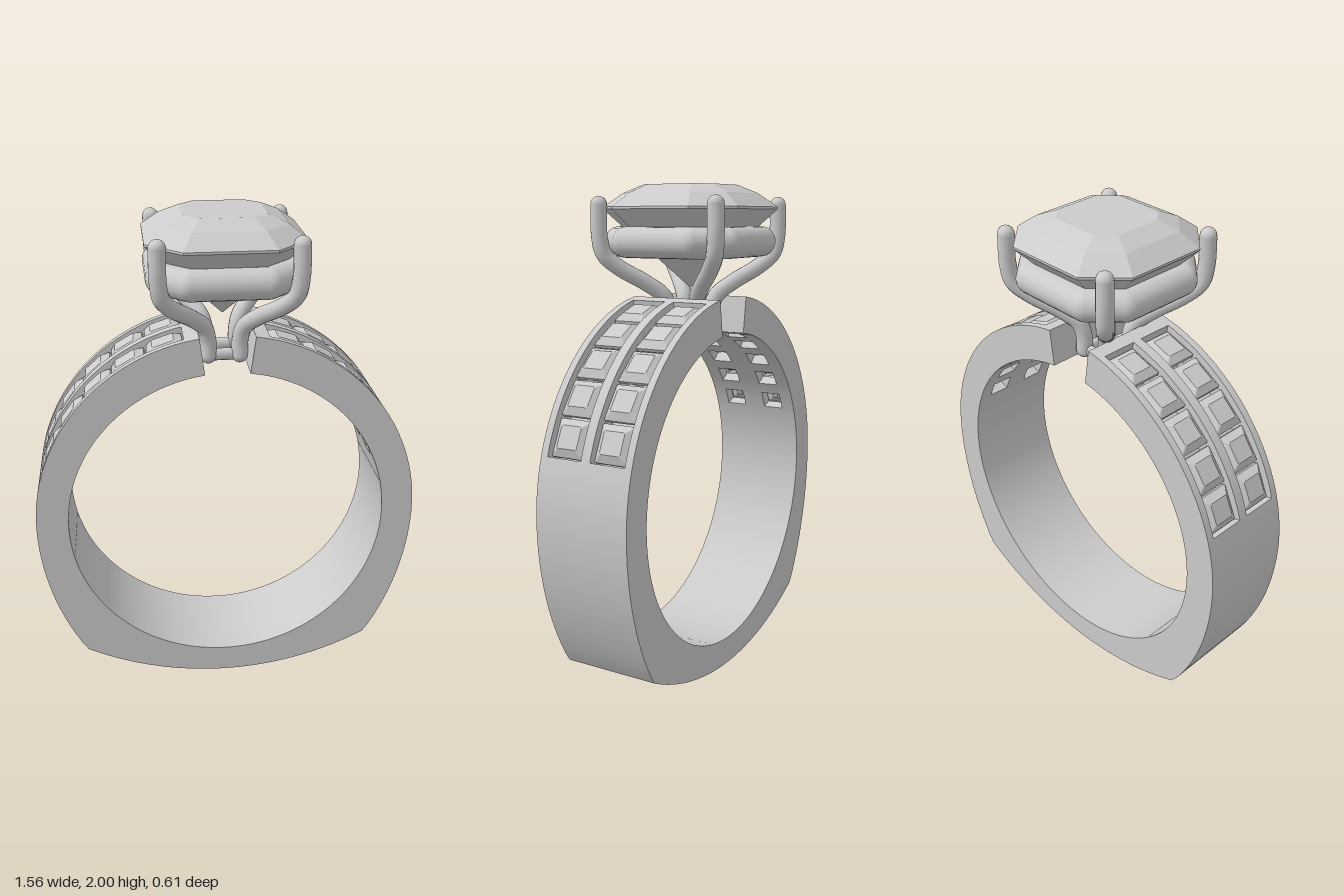
import * as THREE from 'three';
import { toCreasedNormals } from 'three/addons/utils/BufferGeometryUtils.js';

const DEG = Math.PI / 180;
const CY = 0.765;        // height of the finger hole centre
const R_IN = 0.65;       // finger hole radius
const R_FLOOR = 0.7;     // bottom of the stone channels
const CH0 = 12 * DEG, CH1 = 71 * DEG, STONES = 5;
const PITCH = (CH1 - CH0) / STONES;
const ROW_Z = 0.095;
const WINDOW = 3.4 * DEG; // half angle of the openings under the stones

const grey = () => new THREE.MeshStandardMaterial({ color: 0xcccccc });
const facetGrey = () => new THREE.MeshStandardMaterial({ color: 0xcccccc, flatShading: true });

function add(parent, name, geometry, material = grey()) {
  const mesh = new THREE.Mesh(geometry, material);
  mesh.name = name;
  parent.add(mesh);
  return mesh;
}

function triangles(points) {
  const g = new THREE.BufferGeometry().setFromPoints(points);
  g.computeVertexNormals();
  return g;
}

// Rectangle with cut corners at height y
function ring(hx, hz, cut, y) {
  const x = hx - cut, z = hz - cut;
  return [[hx, -z], [hx, z], [x, hz], [-x, hz], [-hx, z], [-hx, -z], [-x, -hz], [x, -hz]]
    .map(([px, pz]) => new THREE.Vector3(px, y, pz));
}

// Faceted solid through rings listed from bottom to top
function loft(rings) {
  const out = [], n = rings[0].length;
  for (let k = 0; k + 1 < rings.length; k++) {
    for (let i = 0; i < n; i++) {
      const j = (i + 1) % n, lo = rings[k], up = rings[k + 1];
      out.push(lo[i], up[i], up[j], lo[i], up[j], lo[j]);
    }
  }
  const top = rings[rings.length - 1], bottom = rings[0];
  for (let i = 1; i + 1 < n; i++) {
    out.push(top[0], top[i + 1], top[i], bottom[0], bottom[i], bottom[i + 1]);
  }
  return triangles(out);
}

// Outer radius of the band at angle a from straight up
function outerRadius(a) {
  const dx = Math.abs(Math.sin(a)), dy = Math.cos(a);
  if (dy >= 0) return 1 / Math.hypot(dx / 0.78, dy / 0.8);
  const hit = (cx, cy, r) => {
    const d = dx * cx + dy * cy;
    return d + Math.sqrt(d * d - cx * cx - cy * cy + r * r);
  };
  return Math.min(hit(-0.388, 0, 1.168), hit(0, 0.493, 1.258));
}

// Band as a grid of cells: solid, channel floor, or open window
function bandGeometry() {
  const half = [7.8 * DEG, CH0];
  for (let i = 0; i < STONES; i++) {
    const mid = CH0 + (i + 0.5) * PITCH;
    half.push(mid - WINDOW, mid, mid + WINDOW, CH0 + (i + 1) * PITCH);
  }
  const corner = Math.atan2(0.605, -0.61);
  for (let i = 1; i <= 20; i++) half.push(CH1 + (corner - CH1) * i / 20);
  for (let i = 1; i <= 14; i++) half.push(corner + (Math.PI - corner) * i / 14);
  const angles = [...half, ...half.slice(0, -1).reverse().map(a => 2 * Math.PI - a)];
  const zs = [-0.2, -0.17, -0.14, -0.05, -0.02, 0.02, 0.05, 0.14, 0.17, 0.2];

  const SOLID = 2, FLOOR = 1, OPEN = 0;
  const kind = (i, k) => {
    if (i < 0 || k < 0 || i > angles.length - 2 || k > zs.length - 2) return OPEN;
    let a = (angles[i] + angles[i + 1]) / 2;
    if (a > Math.PI) a = 2 * Math.PI - a;
    const off = Math.abs(Math.abs((zs[k] + zs[k + 1]) / 2) - ROW_Z);
    if (a < CH0 || a > CH1 || off > 0.075) return SOLID;
    const fromMid = Math.abs(((a - CH0) % PITCH) - PITCH / 2);
    return off < 0.045 && fromMid < WINDOW ? OPEN : FLOOR;
  };
  const point = (i, k, level) => {
    const a = angles[i];
    const r = level === SOLID ? outerRadius(a) : level === FLOOR ? R_FLOOR : R_IN;
    return new THREE.Vector3(r * Math.sin(a), CY + r * Math.cos(a), zs[k]);
  };
  const out = [];
  // Adds a quad turned to face along dir
  const quad = (a, b, c, d, dir) => {
    const n = b.clone().sub(a).cross(c.clone().sub(a));
    if (n.dot(dir) < 0) [b, d] = [d, b];
    out.push(a, b, c, a, c, d);
  };
  for (let i = 0; i < angles.length - 1; i++) {
    for (let k = 0; k < zs.length - 1; k++) {
      const t = kind(i, k);
      if (t === OPEN) continue;
      const m = (angles[i] + angles[i + 1]) / 2;
      const radial = new THREE.Vector3(Math.sin(m), Math.cos(m), 0);
      const along = new THREE.Vector3(Math.cos(m), -Math.sin(m), 0);
      for (const [level, s] of [[t, 1], [OPEN, -1]]) {
        quad(point(i, k, level), point(i + 1, k, level), point(i + 1, k + 1, level),
          point(i, k + 1, level), radial.clone().multiplyScalar(s));
      }
      // Walls down to lower neighbours
      for (const s of [-1, 1]) {
        const e = s > 0 ? 1 : 0;
        const na = kind(i + s, k), nz = kind(i, k + s);
        if (na < t) quad(point(i + e, k, na), point(i + e, k + 1, na), point(i + e, k + 1, t),
          point(i + e, k, t), along.clone().multiplyScalar(s));
        if (nz < t) quad(point(i, k + e, nz), point(i + 1, k + e, nz), point(i + 1, k + e, t),
          point(i, k + e, t), new THREE.Vector3(0, 0, s));
      }
    }
  }
  return toCreasedNormals(triangles(out), 0.35);
}

export function createModel() {
  const model = new THREE.Group();
  model.name = 'ring';
  add(model, 'band', bandGeometry());

  // Two rows of small square stones on each shoulder
  const sideStones = new THREE.Group();
  sideStones.name = 'sideStones';
  model.add(sideStones);
  const stoneGeometry = loft([
    ring(0.012, 0.012, 0.002, -0.09), ring(0.073, 0.071, 0.004, -0.035),
    ring(0.073, 0.071, 0.004, -0.022), ring(0.044, 0.044, 0.004, 0),
  ]);
  for (const side of [-1, 1]) for (const row of [-1, 1]) {
    for (let i = 0; i < STONES; i++) {
      const a = side * (CH0 + (i + 0.5) * PITCH), r = outerRadius(a) - 0.004;
      const stone = add(sideStones, 'sideStone', stoneGeometry, facetGrey());
      stone.position.set(r * Math.sin(a), CY + r * Math.cos(a), row * ROW_Z);
      stone.rotation.z = -a;
    }
  }

  // Large cut-corner stone with pointed underside and domed crown
  add(model, 'centreStone', loft([
    ring(0.002, 0.002, 0.001, 1.595), ring(0.29, 0.29, 0.125, 1.89),
    ring(0.305, 0.305, 0.135, 1.905), ring(0.305, 0.305, 0.135, 1.914),
    ring(0.235, 0.235, 0.1, 1.967), ring(0.16, 0.16, 0.06, 2),
  ]), facetGrey());

  // Rounded rail under the stone
  const rail = new THREE.Group();
  rail.name = 'basketRail';
  model.add(rail);
  const corners = ring(0.245, 0.245, 0.1, 1.778);
  corners.forEach((p, i) => {
    const q = corners[(i + 1) % corners.length], d = q.clone().sub(p);
    const bar = add(rail, 'railBar', new THREE.CylinderGeometry(0.06, 0.06, d.length(), 20, 1, true));
    bar.position.copy(p).add(q).multiplyScalar(0.5);
    bar.quaternion.setFromUnitVectors(new THREE.Vector3(0, 1, 0), d.normalize());
    add(rail, 'railCorner', new THREE.SphereGeometry(0.06, 20, 14)).position.copy(p);
  });

  // Four curved prongs with rounded ends
  const profile = [[0.262, 1.922], [0.262, 1.8], [0.25, 1.73], [0.205, 1.675],
    [0.13, 1.615], [0.078, 1.56], [0.063, 1.5], [0.063, 1.44]];
  for (const sx of [-1, 1]) for (const sz of [-1, 1]) {
    const path = profile.map(([d, y]) => new THREE.Vector3(sx * d, y, sz * d));
    const prong = new THREE.Group();
    prong.name = 'prong';
    model.add(prong);
    add(prong, 'prongWire', new THREE.TubeGeometry(new THREE.CatmullRomCurve3(path), 48, 0.033, 14));
    for (const end of [path[0], path[path.length - 1]]) {
      add(prong, 'prongEnd', new THREE.SphereGeometry(0.033, 14, 10)).position.copy(end);
    }
  }

  // Small square ring joining the prong feet
  const foot = new THREE.TorusGeometry(0.085, 0.025, 10, 4);
  foot.rotateZ(Math.PI / 4).rotateX(Math.PI / 2);
  add(model, 'prongBase', toCreasedNormals(foot, 0.8)).position.y = 1.442;

  return model;
}
